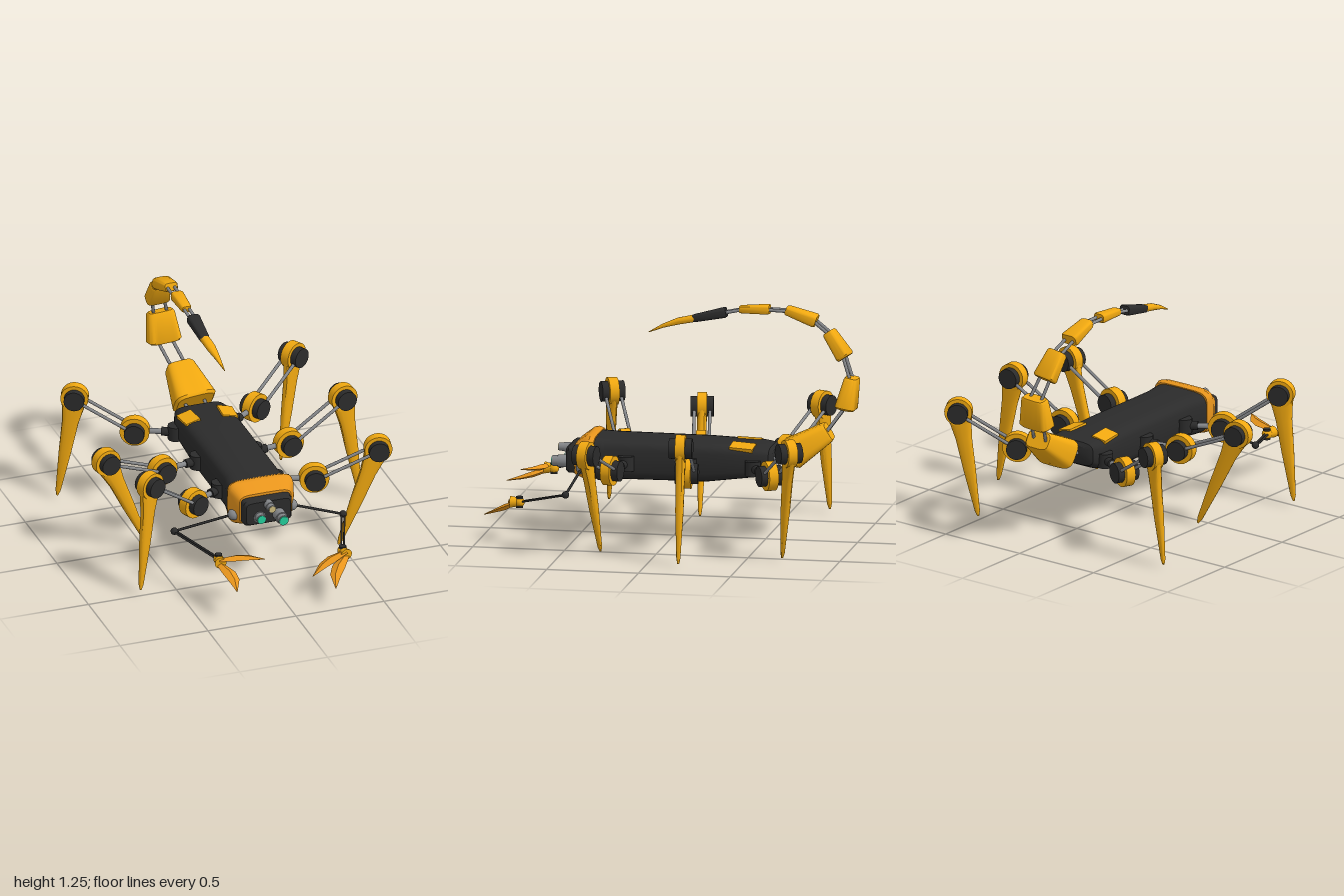
import * as THREE from 'three';
import { toCreasedNormals } from 'three/addons/utils/BufferGeometryUtils.js';

const mat = (color) => new THREE.MeshStandardMaterial({ color });
const yellow = mat(0xf0a810), orange = mat(0xe8951c), dark = mat(0x2b2b2b);
const steel = mat(0x85878a), teal = mat(0x22cc99), brass = mat(0xc9b87c);
const V = (x, y, z) => new THREE.Vector3(x, y, z);
const X = V(1, 0, 0), Y = V(0, 1, 0), Z = V(0, 0, 1);

export function createModel() {
  const model = new THREE.Group();
  let parent = model;

  function add(name, geometry, material) {
    const mesh = new THREE.Mesh(geometry, material);
    mesh.name = name;
    parent.add(mesh);
    return mesh;
  }

  function group(name, build) {
    const g = new THREE.Group(), before = parent;
    g.name = name;
    before.add(g);
    parent = g;
    build();
    parent = before;
  }

  // Cylinder between two points
  function rod(name, a, b, r, material, rEnd = r, sides = 20) {
    const d = b.clone().sub(a);
    const m = add(name, new THREE.CylinderGeometry(rEnd, r, d.length(), sides), material);
    m.position.copy(a).lerp(b, 0.5);
    m.quaternion.setFromUnitVectors(Y, d.normalize());
    return m;
  }

  // Skin over superellipse sections [centre, halfWidth, halfDepth]; power < 1 is boxy, 2 is a diamond
  function loft(name, stations, material, { power = 0.45, sides = 28, axis, width = X, crease = 0.6 } = {}) {
    const t = (axis || stations.at(-1)[0].clone().sub(stations[0][0])).clone().normalize();
    const w = width.clone().addScaledVector(t, -width.dot(t)).normalize();
    const d = t.clone().cross(w);
    const pos = [], index = [];
    const bend = (v) => Math.abs(v) < 1e-6 ? 0 : Math.sign(v) * Math.abs(v) ** power;
    for (const [c, hw, hd] of stations) {
      for (let j = 0; j < sides; j++) {
        const a = j / sides * Math.PI * 2;
        pos.push(...c.clone().addScaledVector(w, hw * bend(Math.cos(a))).addScaledVector(d, hd * bend(Math.sin(a))));
      }
    }
    const last = stations.length - 1, base = stations.length * sides;
    pos.push(...stations[0][0], ...stations[last][0]);
    for (let j = 0; j < sides; j++) {
      const k = (j + 1) % sides;
      for (let i = 0; i < last; i++) {
        const p = i * sides, q = p + sides;
        index.push(p + j, p + k, q + k, p + j, q + k, q + j);
      }
      index.push(base, k, j, base + 1, last * sides + j, last * sides + k);
    }
    const g = new THREE.BufferGeometry();
    g.setAttribute('position', new THREE.Float32BufferAttribute(pos, 3));
    g.setIndex(index);
    return add(name, toCreasedNormals(g, crease), material);
  }

  // Sections along z: [z, halfWidth, bottom, top]
  const hull = (name, rows, material, power) => loft(name,
    rows.map(([z, hw, lo, hi]) => [V(0, (lo + hi) / 2, z), hw, (hi - lo) / 2]), material, { power, axis: Z });

  // Body and head
  hull('body', [[-0.555, 0.11, 0.42, 0.5], [-0.54, 0.14, 0.39, 0.52], [-0.48, 0.16, 0.36, 0.528],
    [-0.2, 0.16, 0.322, 0.54], [0.3, 0.16, 0.318, 0.543], [0.36, 0.172, 0.316, 0.543],
    [0.42, 0.178, 0.316, 0.545]], dark, 0.45);
  hull('head', [[0.405, 0.18, 0.315, 0.55], [0.43, 0.186, 0.312, 0.56], [0.455, 0.183, 0.314, 0.555],
    [0.515, 0.148, 0.335, 0.51]], orange, 0.36);
  hull('face', [[0.49, 0.142, 0.343, 0.497], [0.55, 0.137, 0.345, 0.492], [0.565, 0.125, 0.355, 0.482]], dark, 0.25);
  for (const s of [-1, 1]) {
    const plate = add('backPlate', new THREE.BoxGeometry(0.085, 0.03, 0.13), yellow);
    plate.position.set(s * 0.108, 0.518, -0.395);
    plate.rotation.set(-0.05, s * -0.08, s * -0.22);
  }

  // Eyes and camera
  for (const [x, y, r, end, lens] of [[-0.052, 0.397, 0.032, 0.6, teal], [0.056, 0.397, 0.034, 0.65, teal], [0, 0.462, 0.026, 0.625, brass]]) {
    rod('eyeBarrel', V(x, y, 0.55), V(x, y, end - 0.03), r, steel);
    rod('eyeRim', V(x, y, end - 0.035), V(x, y, end), r * 0.85, steel);
    rod('eyeLens', V(x, y, end - 0.01), V(x, y, end + 0.004), r * 0.72, lens);
  }

  // Legs: hip and knee are discs on a hinge axle, joined by twin rods
  function leg(name, rootZ, hip, knee, foot) {
    group(name, () => {
      const root = V(Math.sign(hip.x) * 0.16, 0.42, rootZ);
      const dir = knee.clone().sub(hip).setY(0).normalize();
      const hinge = V(-dir.z, 0, dir.x);
      const off = (p, d) => p.clone().addScaledVector(hinge, d);
      rod('hipSocket', root.clone().setY(0.38), root.clone().setY(0.46), 0.043, dark);
      rod('hipCollar', root, root.clone().lerp(hip, 0.35), 0.024, dark);
      rod('hipStrut', root, hip, 0.015, steel);
      for (const [joint, p, r] of [['hip', hip, 0.08], ['knee', knee, 0.075]]) {
        rod(joint + 'Disc', off(p, -0.026), off(p, 0.026), r, yellow, r, 32);
        rod(joint + 'Axle', off(p, -0.062), off(p, 0.062), 0.055, dark, 0.055, 28);
      }
      for (const s of [-0.042, 0.042]) rod('thighRod', off(hip, s), off(knee, s), 0.009, steel, 0.009, 10);
      const at = (t) => knee.clone().lerp(foot, t);
      loft('shin', [[at(0), 0.074, 0.026], [at(0.12), 0.058, 0.026], [at(0.25), 0.045, 0.025],
        [at(0.55), 0.034, 0.022], [at(0.95), 0.014, 0.011], [at(1), 0.005, 0.005]], yellow,
      { power: 0.75, sides: 16, width: dir });
    });
  }
  leg('frontLeftLeg', 0.23, V(0.36, 0.42, 0.28), V(0.7, 0.57, 0.345), V(0.49, 0.005, 0.305));
  leg('middleLeftLeg', -0.11, V(0.365, 0.42, -0.14), V(0.685, 0.625, -0.17), V(0.785, 0.015, -0.175));
  leg('rearLeftLeg', -0.46, V(0.335, 0.42, -0.585), V(0.61, 0.605, -0.745), V(0.52, 0.015, -0.69));
  leg('frontRightLeg', 0.23, V(-0.345, 0.42, 0.335), V(-0.635, 0.64, 0.46), V(-0.7, 0.035, 0.49));
  leg('middleRightLeg', -0.11, V(-0.375, 0.42, -0.075), V(-0.715, 0.56, -0.015), V(-0.47, 0.012, -0.05));
  leg('rearRightLeg', -0.46, V(-0.36, 0.42, -0.55), V(-0.655, 0.61, -0.68), V(-0.745, 0.02, -0.705));

  // Pincers on thin arms
  function ball(name, p, r, material) {
    add(name, new THREE.SphereGeometry(r, 20, 14), material).position.copy(p);
  }
  function pincer(name, elbow, wrist, tips) {
    group(name, () => {
      const s = Math.sign(elbow.x), shoulder = V(s * 0.165, 0.385, 0.47);
      ball('shoulder', shoulder, 0.032, steel);
      rod('upperArm', shoulder, elbow, 0.007, dark, 0.007, 10);
      ball('elbow', elbow, 0.02, dark);
      for (const d of [-0.008, 0.008]) {
        rod('forearm', elbow.clone().add(V(d, 0, 0)), wrist.clone().add(V(d, 0, 0)), 0.0055, dark, 0.0055, 8);
      }
      rod('wristPin', wrist.clone().add(V(0, -0.03, 0)), wrist.clone().add(V(0, 0.03, 0)), 0.02, dark);
      ball('wrist', wrist, 0.028, yellow);
      const palm = wrist.clone().add(V(s * 0.005, 0, 0.05));
      rod('palm', wrist, palm, 0.022, yellow, 0.032);
      tips.forEach((tip, i) => {
        const base = palm.clone().add(V(0, i ? -0.012 : 0.012, -0.012));
        const d = tip.clone().sub(base), side = d.clone().cross(Y).normalize();
        const bow = (t, amount) => base.clone().lerp(tip, t).addScaledVector(side, s * (i ? -amount : amount));
        const belly = (i ? -1 : 1) * 0.02;
        loft('claw', [[bow(0, 0), 0.02, 0.012], [bow(0.35, belly), 0.036, 0.016],
          [bow(0.62, belly * 1.1), 0.03, 0.011], [tip, 0.002, 0.002]], orange,
        { power: 2, sides: 4, width: side, crease: 0.2 });
      });
    });
  }
  pincer('leftPincer', V(0.445, 0.295, 0.505), V(0.345, 0.225, 0.775), [V(0.14, 0.155, 0.875), V(0.23, 0.125, 0.99)]);
  pincer('rightPincer', V(-0.487, 0.32, 0.43), V(-0.34, 0.27, 0.72), [V(-0.125, 0.3, 0.86), V(-0.325, 0.195, 0.975)]);

  // Tail: tapered blocks [start, end, start half sizes, end half sizes, material]
  const tail = [
    [V(0.015, 0.475, -0.64), V(-0.005, 0.605, -0.845), [0.118, 0.085], [0.08, 0.055], yellow],
    [V(-0.06, 0.72, -0.925), V(-0.07, 0.89, -0.958), [0.094, 0.056], [0.076, 0.038], yellow],
    [V(-0.102, 0.99, -0.915), V(-0.118, 1.125, -0.82), [0.066, 0.042], [0.055, 0.033], yellow],
    [V(-0.14, 1.175, -0.75), V(-0.14, 1.23, -0.585), [0.052, 0.034], [0.04, 0.025], yellow],
    [V(-0.143, 1.228, -0.495), V(-0.143, 1.222, -0.33), [0.036, 0.026], [0.028, 0.02], yellow],
    [V(-0.135, 1.205, -0.26), V(-0.13, 1.163, -0.075), [0.036, 0.027], [0.026, 0.02], dark],
  ];
  group('tail', () => {
    let previous = V(0.01, 0.45, -0.53), spread = 0.055;
    tail.forEach(([a, b, [w0, d0], [w1, d1], material], i) => {
      const at = (t) => a.clone().lerp(b, t);
      loft('tailSegment' + (i + 1), [[a, w0 * 0.88, d0 * 0.88], [at(0.06), w0, d0],
        [at(0.94), w1, d1], [b, w1 * 0.86, d1 * 0.86]], material, { power: 0.5, crease: 0.75 });
      const next = Math.min(spread, w0 * 0.5);
      for (const s of [-1, 1]) {
        rod('tailRod', previous.clone().add(V(s * spread, 0, 0)), at(0.1).add(V(s * next, 0, 0)), 0.009, steel, 0.009, 10);
      }
      previous = at(0.9);
      spread = w1 * 0.5;
    });
    loft('stinger', [[V(-0.13, 1.165, -0.085), 0.026, 0.02], [V(-0.122, 1.148, 0), 0.025, 0.018],
      [V(-0.113, 1.122, 0.08), 0.014, 0.011], [V(-0.103, 1.086, 0.158), 0.002, 0.002]], yellow,
    { power: 0.8, sides: 16 });
  });

  return model;
}
